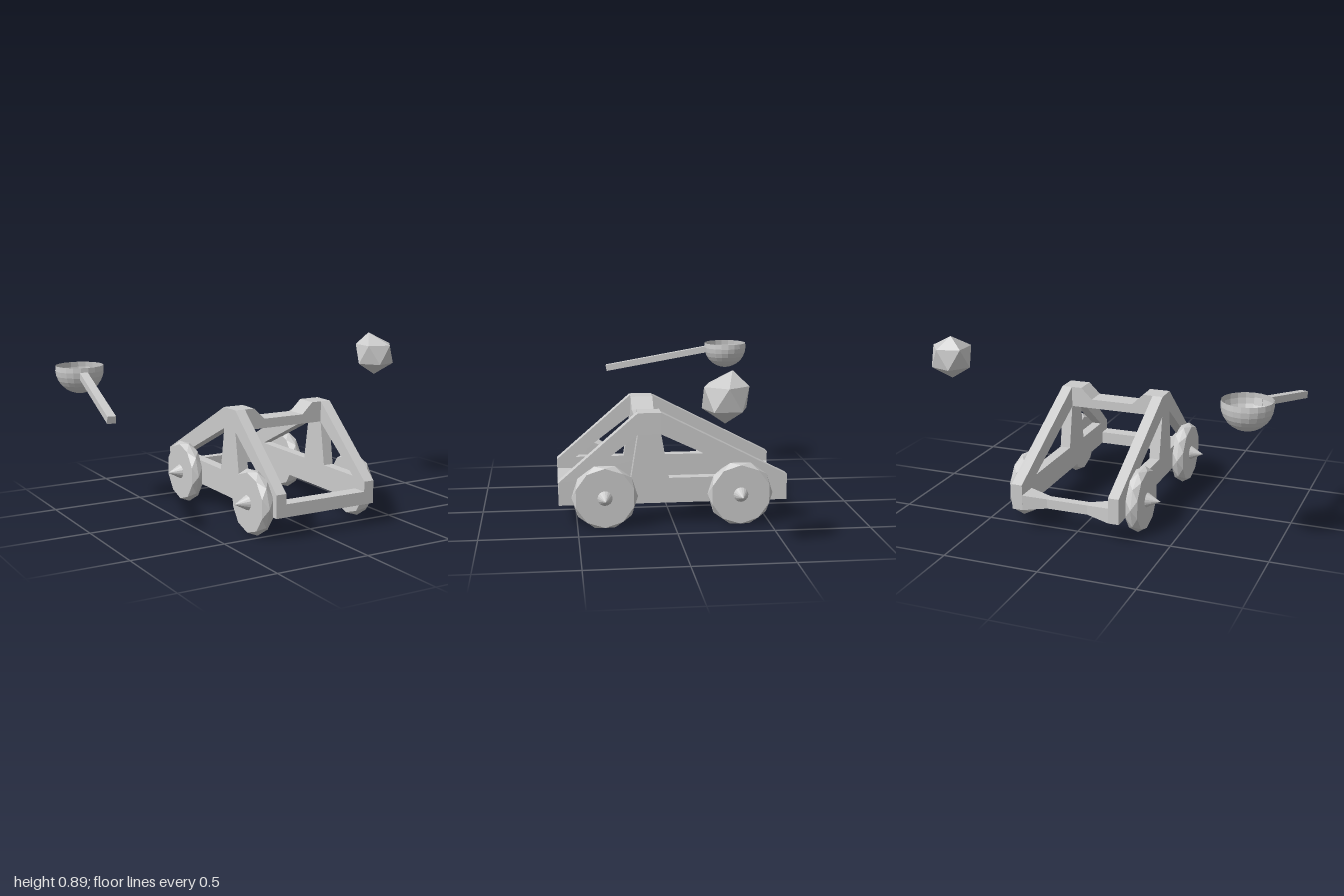
import * as THREE from 'three';

const CX = 0.032; // middle of the cart across x

export function createModel() {
  const model = new THREE.Group();
  const material = new THREE.MeshStandardMaterial({ color: 0xcccccc, flatShading: true, side: THREE.DoubleSide });

  const add = (name, geometry, x = 0, y = 0, z = 0, parent = model) => {
    const mesh = new THREE.Mesh(geometry, material);
    mesh.name = name;
    mesh.position.set(x, y, z);
    parent.add(mesh);
    return mesh;
  };
  const points = (list) => list.map(([a, b]) => new THREE.Vector2(a, b));

  // Skins equal rings of points, listed in order, and caps both ends with fans
  const loft = (rings) => {
    const n = rings[0].length;
    const pos = rings.flat(2);
    const index = [];
    for (let r = 0; r < rings.length - 1; r++) {
      for (let i = 0; i < n; i++) {
        const a = r * n + i, b = r * n + (i + 1) % n;
        index.push(a, b, a + n, b, b + n, a + n);
      }
    }
    const last = (rings.length - 1) * n;
    for (let i = 1; i < n - 1; i++) {
      index.push(0, i + 1, i, last, last + i, last + i + 1);
    }
    const g = new THREE.BufferGeometry();
    g.setAttribute('position', new THREE.Float32BufferAttribute(pos, 3));
    g.setIndex(index);
    const flat = g.toNonIndexed();
    flat.computeVertexNormals();
    return flat;
  };

  // Side frames: profile in (z, y) with a triangular opening either side of the post
  const profile = new THREE.Shape(points([
    [0.595, 0.115], [0.595, 0.235], [0.185, 0.59], [0.065, 0.59], [-0.595, 0.25], [-0.595, 0.115],
  ]));
  profile.holes.push(
    new THREE.Path(points([[0.185, 0.477], [0.222, 0.245], [0.49, 0.245]])),
    new THREE.Path(points([[0.065, 0.477], [-0.42, 0.247], [0.025, 0.247]])),
  );
  const frameGeometry = new THREE.ExtrudeGeometry(profile, { depth: 0.057, bevelEnabled: false });
  frameGeometry.translate(0, 0, -0.0285).rotateY(-Math.PI / 2);
  add('leftSideFrame', frameGeometry, CX + 0.2635);
  add('rightSideFrame', frameGeometry, CX - 0.2635);

  // Top crossbeam with a shallow notch
  const notch = new THREE.Shape(points([
    [-0.236, 0.48], [0.236, 0.48], [0.236, 0.59], [0.18, 0.59],
    [0.118, 0.53], [-0.118, 0.53], [-0.18, 0.59], [-0.236, 0.59],
  ]));
  add('topCrossbeam', new THREE.ExtrudeGeometry(notch, { depth: 0.12, bevelEnabled: false }), CX, 0, 0.065);

  // Front crossbeam
  add('frontCrossbeam', new THREE.BoxGeometry(0.474, 0.067, 0.08), CX, 0.1485, 0.555);

  // Rear crossbeam, waisted in the middle
  const section = (x, y0, y1, z0, z1) => [[x, y0, z0], [x, y1, z0], [x, y1, z1], [x, y0, z1]];
  add('rearCrossbeam', loft([
    section(-0.236, 0.115, 0.195, -0.595, -0.48),
    section(-0.11, 0.13, 0.18, -0.562, -0.515),
    section(0.11, 0.13, 0.18, -0.562, -0.515),
    section(0.236, 0.115, 0.195, -0.595, -0.48),
  ]), CX);

  // Ten-sided wheels: a wide ring between two faces turned by half a step
  const ring = (x, radius, turn) => Array.from({ length: 10 }, (_, i) => {
    const a = (i + turn) * Math.PI / 5;
    return [x, radius * Math.cos(a), radius * Math.sin(a)];
  });
  const wheelGeometry = loft([ring(0.288, 0.156, 0), ring(0.323, 0.171, 0.5), ring(0.353, 0.156, 1)]);
  const hubGeometry = new THREE.ConeGeometry(0.04, 0.075, 16).rotateZ(-Math.PI / 2);
  const wheel = (name, side, z) => {
    const group = new THREE.Group();
    group.name = name;
    group.position.set(CX, 0.163, z);
    if (side < 0) group.rotation.y = Math.PI;
    add('wheelDisc', wheelGeometry, 0, 0, 0, group);
    add('hubSpike', hubGeometry, 0.388, 0, 0, group);
    model.add(group);
  };
  wheel('frontLeftWheel', 1, 0.36);
  wheel('rearLeftWheel', 1, -0.342);
  wheel('frontRightWheel', -1, 0.412);
  wheel('rearRightWheel', -1, -0.345);

  // Throwing arm: a square pole running into an open bowl
  const tip = new THREE.Vector3(-0.978, 0.627, 0.272);
  const end = new THREE.Vector3(-0.876, 0.749, -0.338);
  const middle = tip.clone().lerp(end, 0.5);
  const arm = add('throwingArm', new THREE.BoxGeometry(0.042, 0.037, tip.distanceTo(end)), ...middle);
  arm.lookAt(end);
  const start = Math.acos(0.022 / 0.128);
  add('throwingBowl', new THREE.SphereGeometry(0.128, 20, 8, 0, Math.PI * 2, start, Math.PI - start),
    -0.853, 0.768, -0.454);

  // Boulder: an icosahedron standing on a corner, its peak pushed off centre
  const rock = new THREE.IcosahedronGeometry(0.123);
  rock.rotateX(-Math.atan((1 + Math.sqrt(5)) / 2)).rotateY(Math.PI / 2);
  const p = rock.attributes.position;
  for (let i = 0; i < p.count; i++) {
    if (p.getY(i) > 0.11) p.setXYZ(i, -0.02, 0.122, -0.035);
  }
  rock.computeVertexNormals();
  add('boulder', rock, 0.88, 0.767, -0.172);

  return model;
}
